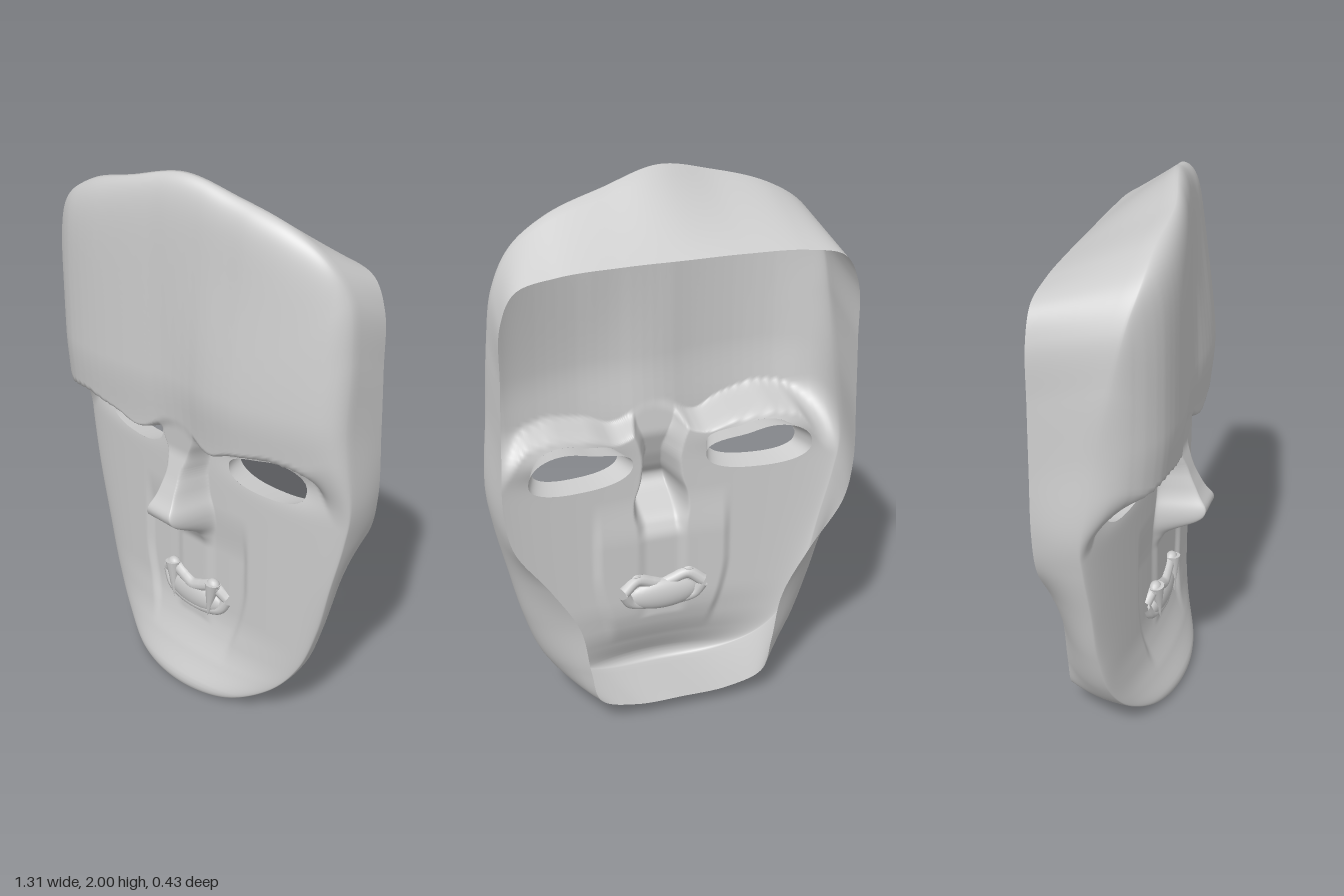
import * as THREE from 'three';

const { smoothstep, lerp } = THREE.MathUtils;
const material = new THREE.MeshStandardMaterial({ color: 0xcccccc, side: THREE.DoubleSide });

// Piecewise profile lookup, softened at its knots
function linear(pts, v) {
  if (v <= pts[0][0]) return pts[0][1];
  for (let i = 1; i < pts.length; i++) {
    const [a, p] = pts[i - 1], [b, q] = pts[i];
    if (v <= b) return lerp(p, q, (v - a) / (b - a));
  }
  return pts[pts.length - 1][1];
}
const profile = (pts, v, soft) =>
  (linear(pts, v - soft) + linear(pts, v - soft / 2) + linear(pts, v) + linear(pts, v + soft / 2) + linear(pts, v + soft)) / 5;

// Half outline, top to chin: front x, y, z, then back rim x, y
const OUTLINE = [
  [0, 2.0, 0.075, 0, 1.77], [0.2, 1.955, 0.06, 0.2, 1.77], [0.4, 1.895, 0.05, 0.42, 1.76],
  [0.53, 1.81, 0.04, 0.555, 1.725], [0.6, 1.69, 0.01, 0.607, 1.62], [0.625, 1.5, -0.01, 0.617, 1.42],
  [0.637, 1.25, -0.03, 0.625, 1.2], [0.657, 0.98, -0.045, 0.63, 0.95], [0.637, 0.83, -0.04, 0.6, 0.8],
  [0.595, 0.64, -0.03, 0.48, 0.62], [0.545, 0.43, -0.03, 0.38, 0.44], [0.48, 0.25, -0.01, 0.345, 0.25],
  [0.38, 0.12, 0.03, 0.31, 0.12], [0.22, 0.03, 0.09, 0.18, 0.075], [0, 0.005, 0.12, 0, 0.07],
];
// Uneven forehead, fuller on its right side
const FOREHEAD = [[-0.66, 0.09], [-0.55, 0.172], [-0.4, 0.207], [-0.2, 0.19], [0, 0.135], [0.2, 0.16], [0.35, 0.14], [0.5, 0.09], [0.64, 0.04]];
const BROW = [[0, 1.09], [0.06, 1.08], [0.11, 1.03], [0.17, 1.015], [0.25, 1.052], [0.4, 1.082], [0.5, 1.07], [0.56, 1.03], [0.66, 0.98]];
const NOSE_Z = [[0.62, 0.04], [0.68, 0.075], [0.72, 0.15], [0.75, 0.205], [0.79, 0.222], [0.83, 0.19], [0.9, 0.155], [1.0, 0.118], [1.1, 0.125]];
const NOSE_W = [[0.66, 0.075], [0.72, 0.084], [0.78, 0.08], [0.84, 0.058], [0.93, 0.048], [1.0, 0.064], [1.06, 0.09]];
const CHIN = [[0.03, 0.115], [0.1, 0.065], [0.2, 0.022], [0.33, 0]];

// Height of the face at x, y
function faceZ(x, y) {
  const ax = Math.abs(x);
  let low = 0.045 - 0.16 * ax * ax;
  low += profile(CHIN, y, 0.03) * Math.max(0, 1 - (x / 0.5) ** 2);
  // muzzle set back behind the cheek folds
  const fold = 0.19 + 0.06 * smoothstep(y, 0.15, 0.5);
  low -= 0.015 * (1 - smoothstep(ax, fold - 0.02, fold + 0.02)) * smoothstep(y, 0.14, 0.3) * (1 - smoothstep(y, 0.6, 0.8));
  // eye pocket
  low -= 0.03 * Math.exp(-(((ax - 0.38) / 0.18) ** 2) - ((y - 1.01) / 0.06) ** 2);
  // nose
  const w = profile(NOSE_W, y, 0.02);
  const nose = profile(NOSE_Z, y, 0.015);
  const side = 1 - smoothstep(ax, w - 0.02, w + 0.025);
  low = lerp(low, Math.max(low, nose), side);
  // forehead over the brow line, leaning back on its left side
  const yb = profile(BROW, ax, 0.02);
  const high = profile(FOREHEAD, x, 0.08) - 0.02 * (1 - smoothstep(y, 1.03, 1.3))
    - 0.055 * smoothstep(y, 1.2, 1.85) * smoothstep(x, -0.05, 0.25);
  const soften = 0.1 * smoothstep(ax, 0.5, 0.62);
  return lerp(low, high, smoothstep(y, yb - soften, yb + 0.045 + soften));
}

// Eye opening: a super-ellipse whose upper edge rises outward
const EYE = { x: 0.327, y: 0.985, rx: 0.16, top: 0.063, bottom: 0.065, rise: 0.25, n: 2.4 };
function eyeRadius(x, y) {
  const dx = Math.abs(x) - EYE.x, dy = y - EYE.y;
  const ry = dy > 0 ? EYE.top * (1 + EYE.rise * dx / Math.hypot(dx, dy)) : EYE.bottom;
  return (Math.abs(dx / EYE.rx) ** EYE.n + Math.abs(dy / ry) ** EYE.n) ** (1 / EYE.n);
}
function scaleFromEye(x, y, k) {
  const s = Math.sign(x) || 1;
  return [s * (EYE.x + (Math.abs(x) - EYE.x) * k), EYE.y + (y - EYE.y) * k];
}

// Rings of points joined into a closed band; skip(a, b, c) leaves a face out
function loft(rings, skip = () => false) {
  const n = rings[0].length, index = [];
  const add = (a, b, c) => { if (!skip(a, b, c)) index.push(a, b, c); };
  for (let i = 0; i < rings.length - 1; i++) {
    for (let j = 0; j < n; j++) {
      const a = i * n + j, b = i * n + (j + 1) % n;
      add(a, b, a + n);
      add(b, b + n, a + n);
    }
  }
  const geometry = new THREE.BufferGeometry();
  geometry.setAttribute('position', new THREE.Float32BufferAttribute(rings.flat(2), 3));
  geometry.setIndex(index);
  geometry.computeVertexNormals();
  return geometry;
}

function addMesh(parent, name, geometry) {
  const mesh = new THREE.Mesh(geometry, material);
  mesh.name = name;
  parent.add(mesh);
  return mesh;
}

function closedCurve(pick) {
  const right = OUTLINE.map((p) => pick(p, 1));
  const left = OUTLINE.slice(1, -1).reverse().map((p) => pick(p, -1));
  return new THREE.CatmullRomCurve3([...right, ...left], true);
}

// Uneven lean of the front edge across the top
const edgeLean = (x, y) =>
  smoothstep(y, 1.1, 1.8) * (0.04 * Math.exp(-(((x + 0.24) / 0.14) ** 2)) - 0.14 * x);

// Face shell and side wall as rings from the nose outward, then back
function maskShell() {
  const SEG = 340, RINGS = 130, WALL = 8, cy = 0.95;
  const front = closedCurve(([x, y, z], s) => new THREE.Vector3(s * x, y, z + edgeLean(s * x, y)));
  const back = closedCurve(([, , , x, y], s) => new THREE.Vector3(s * x, y, -0.212));
  const rings = [], inside = [];
  for (let i = 0; i <= RINGS + WALL; i++) {
    const ring = [];
    for (let j = 0; j < SEG; j++) {
      const f = front.getPoint(j / SEG);
      if (i > RINGS) {
        // the wall keeps its width before turning in to the rim
        const t = (i - RINGS) / WALL, b = back.getPoint(j / SEG);
        const turn = lerp(t, t * t, 1 - smoothstep(f.y, 0.9, 1.5));
        ring.push([lerp(f.x, b.x, turn), lerp(f.y, b.y, t), lerp(f.z, b.z, t)]);
        inside.push(false);
        continue;
      }
      const t = i / RINGS, s = 1 - (1 - t) * (1 - 0.75 * t * t);
      let x = f.x * s, y = cy + (f.y - cy) * s;
      const r = eyeRadius(x, y);
      if (r < 1) [x, y] = scaleFromEye(x, y, 1 / Math.max(r, 0.001));
      inside.push(r < 1);
      // rounded turn from the face into the wall
      ring.push([x, y, lerp(faceZ(x, y), f.z, 1 - Math.sqrt(1 - s ** 15))]);
    }
    rings.push(ring);
  }
  return loft(rings, (a, b, c) => inside[a] && inside[b] && inside[c]);
}

// Lid sleeve running back from an eye opening
function eyeSocket(side) {
  const rings = [];
  for (let k = 0; k <= 4; k++) {
    const ring = [];
    for (let j = 0; j < 64; j++) {
      const a = (j / 64) * Math.PI * 2;
      const px = side * (EYE.x + Math.cos(a) * EYE.rx), py = EYE.y + Math.sin(a) * EYE.top;
      const [x, y] = scaleFromEye(px, py, 1 / eyeRadius(px, py));
      const [wx, wy] = scaleFromEye(x, y, 1 + 0.05 * k);
      ring.push([wx, wy, faceZ(x, y) - 0.022 * k]);
    }
    rings.push(ring);
  }
  return loft(rings);
}

function lip(points, radius) {
  const curve = new THREE.CatmullRomCurve3(points.map((p) => new THREE.Vector3(...p)));
  return new THREE.TubeGeometry(curve, 32, radius, 10);
}

export function createModel() {
  const model = new THREE.Group();
  model.name = 'mask';
  addMesh(model, 'faceShell', maskShell());
  addMesh(model, 'leftEyeSocket', eyeSocket(1));
  addMesh(model, 'rightEyeSocket', eyeSocket(-1));

  // Mouth with lips and two fangs
  const mouth = new THREE.Group();
  mouth.name = 'mouth';
  model.add(mouth);
  addMesh(mouth, 'upperLip', lip([[-0.155, 0.41, 0.02], [-0.1, 0.445, 0.035], [-0.04, 0.425, 0.04], [0, 0.412, 0.042],
    [0.04, 0.425, 0.04], [0.1, 0.445, 0.035], [0.155, 0.41, 0.02]], 0.024));
  addMesh(mouth, 'lowerLip', lip([[-0.155, 0.4, 0.02], [-0.125, 0.355, 0.03], [-0.07, 0.337, 0.038], [0, 0.332, 0.042],
    [0.07, 0.337, 0.038], [0.125, 0.355, 0.03], [0.155, 0.4, 0.02]], 0.022));
  const fill = addMesh(mouth, 'innerMouth', new THREE.SphereGeometry(1, 28, 16));
  fill.scale.set(0.14, 0.062, 0.036);
  fill.position.set(0, 0.372, 0.034);
  for (const side of [1, -1]) {
    const fang = addMesh(mouth, side > 0 ? 'leftFang' : 'rightFang', new THREE.ConeGeometry(0.03, 0.15, 12));
    fang.position.set(side * 0.097, 0.392, 0.055);
    fang.rotation.set(Math.PI - 0.08, 0, side * 0.1);
    const root = addMesh(mouth, side > 0 ? 'leftFangRoot' : 'rightFangRoot', new THREE.SphereGeometry(0.03, 14, 10));
    root.scale.z = 0.8;
    root.position.set(side * 0.103, 0.452, 0.045);
  }
  return model;
}
